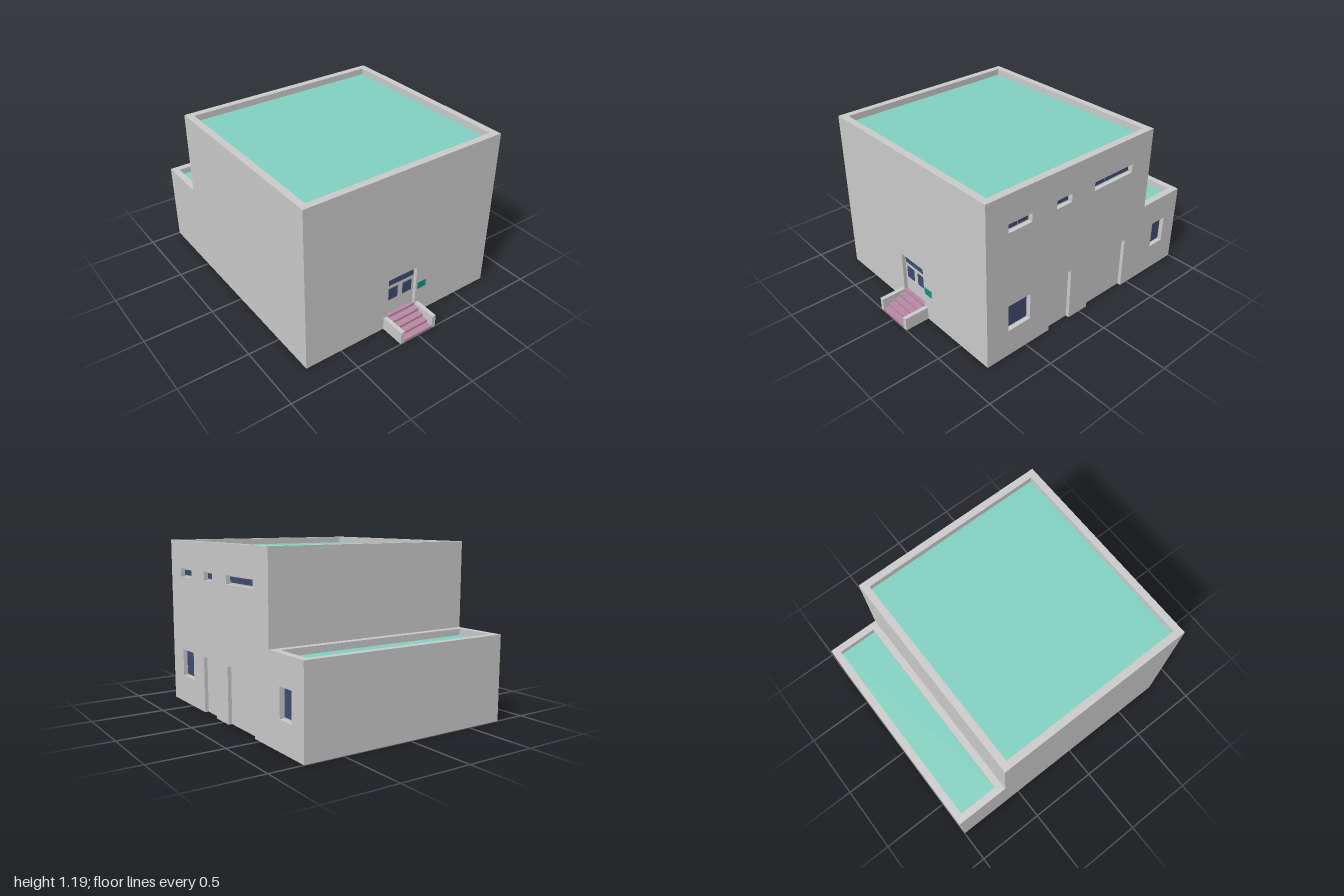
import * as THREE from 'three';

const mat = (color) => new THREE.MeshStandardMaterial({ color });

export function createModel() {
  const wall = mat(0xcccccc), roof = mat(0x82d2c2), glass = mat(0x3e4c6f);
  const pink = mat(0xba8aa6), teal = mat(0x179084);
  const model = new THREE.Group();

  const W = 0.77, FRONT = 0.82, MID = -0.62, BACK = -1;
  const MAIN_H = 1.19, ANNEX_H = 0.59, PARAPET = 0.05, RECESS = 0.03, PANEL = 0.004;

  const add = (name, geometry, material, parent = model) => {
    const mesh = new THREE.Mesh(geometry, material);
    mesh.name = name;
    parent.add(mesh);
    return mesh;
  };
  // Box given by its lower and upper limits
  const box = (name, material, x0, x1, y0, y1, z0, z1, parent) =>
    add(name, new THREE.BoxGeometry(x1 - x0, y1 - y0, z1 - z0), material, parent)
      .position.set((x0 + x1) / 2, (y0 + y1) / 2, (z0 + z1) / 2);
  const outline = (points) => new THREE.Shape(points.map(([x, y]) => new THREE.Vector2(x, y)));
  const rect = (x0, x1, y0, y1) => outline([[x0, y0], [x1, y0], [x1, y1], [x0, y1]]);
  const extrude = (shape, depth) => new THREE.ExtrudeGeometry(shape, { depth, bevelEnabled: false });

  const mainTop = MAIN_H - PARAPET, annexTop = ANNEX_H - PARAPET;

  // Stepped side profile; u runs towards the back (u = -z), with door notches in the base
  const profile = (u0, doors) => outline([
    [u0, 0],
    ...doors.flatMap(([a, b, h]) => [[a, 0], [a, h], [b, h], [b, 0]]),
    [-BACK, 0], [-BACK, annexTop], [-MID, annexTop], [-MID, mainTop], [u0, mainTop],
  ]);
  const core = add('buildingBody', extrude(profile(-FRONT + RECESS, []), 2 * W - RECESS), wall);
  core.rotation.y = Math.PI / 2;
  core.position.x = -W;

  // Side facade: skin with recessed openings [u0, u1, y0, y1, pane count]
  const doors = [[-0.29, -0.1, 0.395], [0.075, 0.435, 0.395]];
  const windows = [
    [-0.65, -0.465, 0.2, 0.395, 1], [0.74, 0.872, 0.2, 0.395, 1],
    [-0.65, -0.465, 0.93, 0.99, 2], [-0.26, -0.13, 0.93, 0.99, 1], [0.075, 0.435, 0.93, 0.99, 3],
  ];
  const side = new THREE.Group();
  side.name = 'sideFacade';
  side.rotation.y = Math.PI / 2;
  side.position.x = W - RECESS;
  model.add(side);
  const sideShape = profile(-FRONT + RECESS, doors);
  windows.forEach(([a, b, y0, y1]) => sideShape.holes.push(rect(a, b, y0, y1)));
  add('sideWall', extrude(sideShape, RECESS), wall, side);
  doors.forEach(([a, b, h]) => box('sideDoor', wall, a, b, 0, h, 0, PANEL, side));
  windows.forEach(([a, b, y0, y1, count]) => {
    const frame = 0.011, bar = 0.006;
    const width = (b - a - 2 * frame - (count - 1) * bar) / count;
    for (let i = 0; i < count; i++) {
      const u = a + frame + i * (width + bar);
      box('windowPane', glass, u, u + width, y0 + frame, y1 - frame, 0, PANEL, side);
    }
  });

  // Front facade with recessed entrance
  const front = new THREE.Group();
  front.name = 'frontFacade';
  front.position.z = FRONT - RECESS;
  model.add(front);
  const D = 0.12, DOOR_TOP = 0.395;
  add('frontWall', extrude(outline([
    [-W, 0], [-D, 0], [-D, DOOR_TOP], [D, DOOR_TOP], [D, 0], [W, 0], [W, mainTop], [-W, mainTop],
  ]), RECESS), wall, front);
  box('frontDoor', wall, -D, D, 0, DOOR_TOP, 0, PANEL, front);
  box('transomPane', glass, -0.11, 0.11, 0.327, 0.383, 0, 2 * PANEL, front);
  for (const s of [-1, 1]) {
    box('doorPane', glass, s * 0.06 - 0.038, s * 0.06 + 0.038, 0.207, 0.297, 0, 2 * PANEL, front);
  }
  box('wallSign', teal, 0.135, 0.205, 0.21, 0.26, RECESS, RECESS + 0.005, front);

  // Entrance steps between low side walls
  const STEP_H = 0.0185, STEP_D = 0.045;
  for (let i = 0; i < 4; i++) {
    box('step', pink, -D, D, 0, (i + 1) * STEP_H, 1 - (i + 1) * STEP_D, 1 - i * STEP_D);
  }
  box('doorSill', pink, -D, D, 0, 5 * STEP_H, FRONT - RECESS, FRONT);
  for (const s of [-1, 1]) {
    box('stepSideWall', wall, s * 0.135 - 0.015, s * 0.135 + 0.015, 0, 0.095, FRONT, 1);
  }

  // Flat roofs, each surrounded by a parapet
  const flatRoof = (name, z0, z1, top) => {
    const ring = rect(-W, W, -z1, -z0);
    ring.holes.push(rect(-W + PARAPET, W - PARAPET, -z1 + PARAPET, -z0 - PARAPET));
    const parapet = add(name + 'Parapet', extrude(ring, PARAPET), wall);
    parapet.rotation.x = -Math.PI / 2;
    parapet.position.y = top - PARAPET;
    box(name + 'Roof', roof, -W + PARAPET, W - PARAPET,
      top - PARAPET, top - PARAPET + PANEL, z0 + PARAPET, z1 - PARAPET);
  };
  flatRoof('main', MID, FRONT, MAIN_H);
  flatRoof('annex', BACK, MID, ANNEX_H);

  return model;
}
